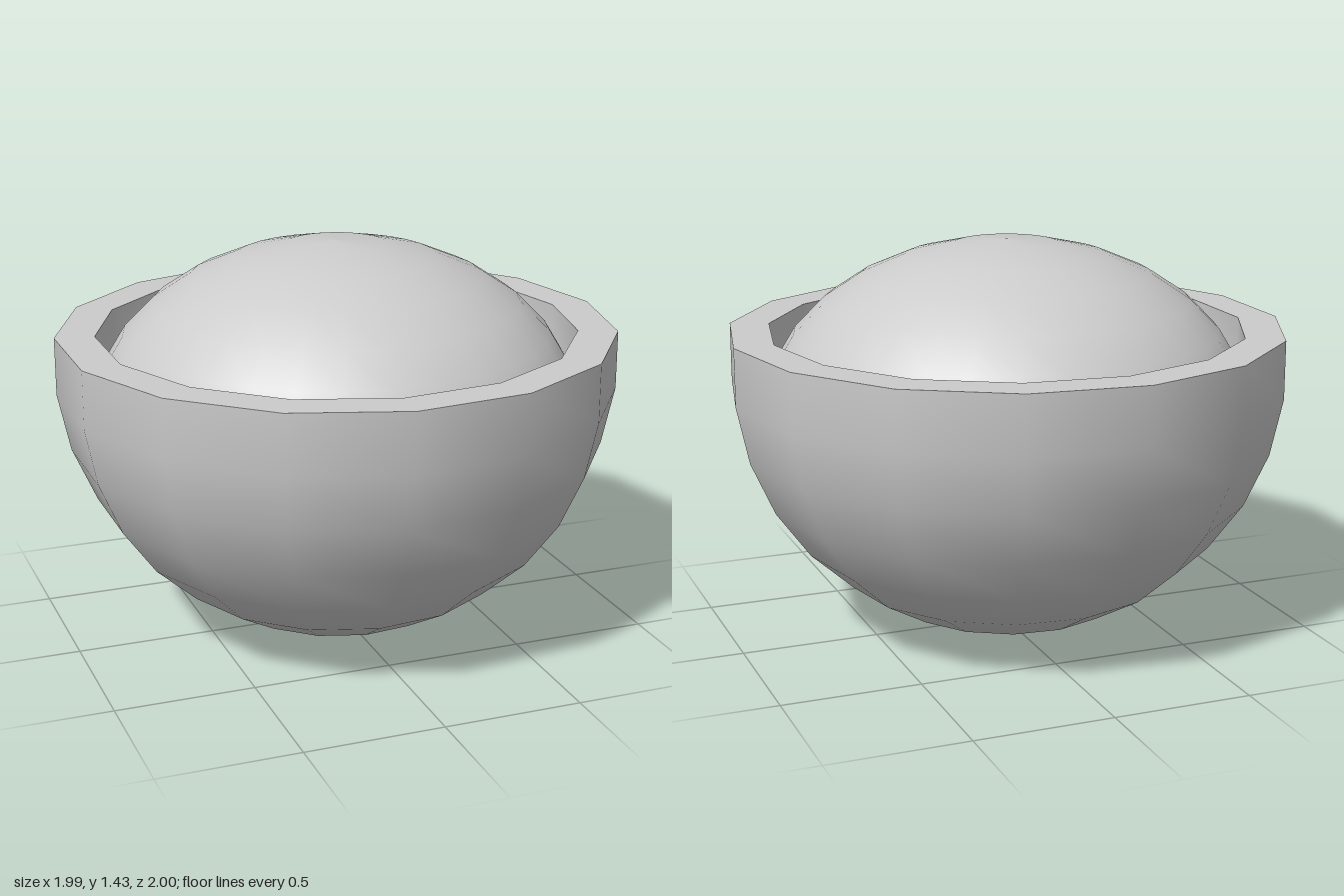
import * as THREE from 'three';

const SIDES = 15;
const STEP = Math.PI / SIDES; // latitude step of the round profiles
const RADIUS = 1.011;
const INNER = 0.858; // inner shell scale
const RIM_Y = RADIUS * (1 - Math.cos(8 * STEP));
const RIM_R = RADIUS * Math.sin(8 * STEP);

const material = new THREE.MeshStandardMaterial({ color: 0xcccccc, side: THREE.DoubleSide });

// Revolve a profile, with the first corner on +x
function revolve(name, points, sides = SIDES) {
  const geometry = new THREE.LatheGeometry(points, sides, Math.PI / 2);
  const mesh = new THREE.Mesh(geometry, material);
  mesh.name = name;
  return mesh;
}

// Bowl profile from the bottom pole up to just past the equator
function bowlProfile(scale) {
  const points = [];
  for (let i = 0; i <= 8; i++) {
    const r = RADIUS * scale * Math.sin(i * STEP);
    const y = RIM_Y - scale * (RIM_Y - RADIUS * (1 - Math.cos(i * STEP)));
    points.push(new THREE.Vector2(r, y));
  }
  return points;
}

export function createModel() {
  const model = new THREE.Group();
  model.name = 'filledBowl';

  // Bowl: outer shell, flat rim and inner shell, kept apart for sharp rim edges
  const bowl = new THREE.Group();
  bowl.name = 'bowl';
  bowl.add(
    revolve('outerShell', bowlProfile(1)),
    revolve('rim', [new THREE.Vector2(RIM_R, RIM_Y), new THREE.Vector2(RIM_R * INNER, RIM_Y)]),
    revolve('innerShell', bowlProfile(INNER).reverse())
  );
  model.add(bowl);

  // Flattened dome filling the bowl, its edge buried in the wall
  const domeProfile = [];
  for (let i = 8; i >= 0; i--) {
    const a = i * STEP;
    domeProfile.push(new THREE.Vector2(0.885 * Math.sin(a), 0.785 + 0.65 * Math.cos(a)));
  }
  model.add(revolve('dome', domeProfile, 2 * SIDES));

  // Centre the odd-sided outline on x = 0
  for (const part of model.children) part.position.x = -0.011;
  return model;
}
